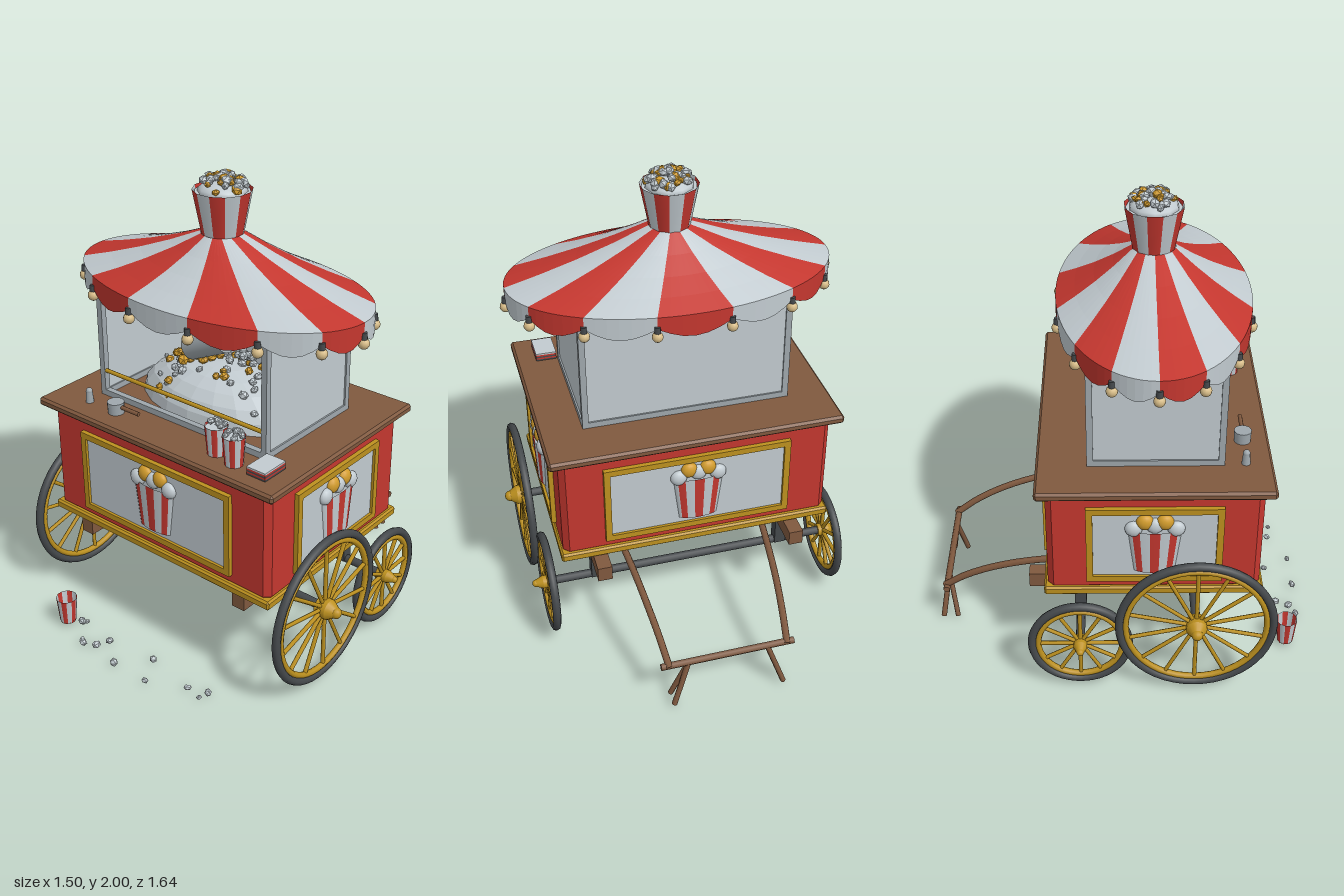
import * as THREE from 'three';
import { mergeGeometries } from 'three/addons/utils/BufferGeometryUtils.js';
import { ConvexGeometry } from 'three/addons/geometries/ConvexGeometry.js';

const mat = (name, color, side = THREE.FrontSide) => {
  const m = new THREE.MeshStandardMaterial({ color, side });
  m.name = name;
  return m;
};
const red = mat('red', 0xc4372f, THREE.DoubleSide);
const white = mat('white', 0xc2cbd0, THREE.DoubleSide);
const gold = mat('gold', 0xbd911f);
const wood = mat('wood', 0x80593f);
const dark = mat('iron', 0x45494c);
const metal = mat('metal', 0x9fa8ad);
const butter = mat('butter', 0xd29c2c);
const cream = mat('cream', 0xd8bd88);

const CZ = 0.125; // depth centre of the cart
const V = (x, y, z) => new THREE.Vector3(x, y, z);

let seed = 7;
const rnd = () => (seed = (seed * 16807) % 2147483647) / 2147483647;

function add(parent, name, geo, material, x = 0, y = 0, z = 0) {
  const m = new THREE.Mesh(geo, material);
  m.name = name;
  m.position.set(x, y, z);
  parent.add(m);
  return m;
}
function group(parent, name, x = 0, y = 0, z = 0) {
  const g = new THREE.Group();
  g.name = name;
  g.position.set(x, y, z);
  parent.add(g);
  return g;
}
const box = (w, h, d) => new THREE.BoxGeometry(w, h, d);

// Box with chamfered edges
function chamferBox(w, h, d, c) {
  const pts = [];
  for (const x of [-1, 1]) for (const y of [-1, 1]) for (const z of [-1, 1])
    for (let a = 0; a < 3; a++)
      pts.push(V(x * (w / 2 - (a === 0 ? 0 : c)), y * (h / 2 - (a === 1 ? 0 : c)), z * (d / 2 - (a === 2 ? 0 : c))));
  return new ConvexGeometry(pts);
}

// Straight bar between two points
function bar(a, b, r, sides = 8) {
  const dir = b.clone().sub(a);
  const geo = new THREE.CylinderGeometry(r, r, dir.length(), sides);
  geo.applyQuaternion(new THREE.Quaternion().setFromUnitVectors(V(0, 1, 0), dir.normalize()));
  const mid = a.clone().add(b).multiplyScalar(0.5);
  return geo.translate(mid.x, mid.y, mid.z);
}

// Striped tapering cup standing on its origin
function stripedCup(parent, name, rTop, rBot, h, n, front, back) {
  const g = group(parent, name);
  [front, back].forEach((m, odd) => {
    const parts = [];
    for (let i = odd; i < n; i += 2)
      parts.push(new THREE.CylinderGeometry(rTop, rBot, h, 1, 1, true, ((i - 0.5) * 2 * Math.PI) / n, (2 * Math.PI) / n));
    add(g, m.name + 'Stripes', mergeGeometries(parts), m, 0, h / 2);
  });
  return g;
}

// Faceted popcorn pieces at given points
function popcorn(parent, name, points, r, material) {
  const parts = points.map(p => {
    const geo = new THREE.IcosahedronGeometry(r * (0.75 + rnd() * 0.5), 0);
    geo.scale(1, 0.65 + rnd() * 0.4, 0.8);
    geo.rotateX(rnd() * 6).rotateY(rnd() * 6);
    return geo.translate(p.x, p.y, p.z);
  });
  add(parent, name, mergeGeometries(parts), material);
}
// Random points over a dome
function dome(n, c, rx, ry, rz, spread = 1) {
  return Array.from({ length: n }, () => {
    const a = rnd() * 2 * Math.PI, t = Math.sqrt(rnd()) * spread;
    return V(c.x + rx * t * Math.cos(a), c.y + ry * Math.sqrt(1 - t * t), c.z + rz * t * Math.sin(a));
  });
}

// Framed sign with a popcorn cup in relief, facing +z
function signPanel(parent, name, w, pos, turn) {
  const g = group(parent, name, ...pos), h = 0.37, t = 0.027;
  g.rotation.y = turn;
  add(g, 'panel', box(w - t, h - t, 0.012), white);
  for (const s of [-1, 1]) {
    add(g, 'frameRail', box(w, t, 0.036), gold, 0, s * (h - t) / 2);
    add(g, 'framePost', box(t, h, 0.036), gold, s * (w - t) / 2);
  }
  const cup = stripedCup(g, 'reliefCup', 0.11, 0.085, 0.21, 16, red, white);
  cup.position.y = -0.133;
  cup.scale.z = 0.3;
  [[-0.085, 0.085, white], [0.085, 0.085, white], [0, 0.1, white], [-0.04, 0.118, butter], [0.04, 0.118, butter]]
    .forEach(([x, y, m]) => add(g, 'reliefKernel', new THREE.SphereGeometry(0.036, 14, 10).scale(1, 1, 0.7), m, x, y, 0.008));
}

function wheel(parent, name, s, x, y, z, r, spokes) {
  const g = group(parent, name, s * x, y, z);
  const ring = (R, t) => new THREE.TorusGeometry(R, t, 8, 48).rotateY(Math.PI / 2);
  add(g, 'tyre', ring(r - 0.018, 0.018), dark);
  add(g, 'rim', ring(r - 0.044, 0.013), gold);
  const parts = [];
  for (let i = 0; i < spokes; i++) {
    const a = (i / spokes) * 2 * Math.PI;
    parts.push(bar(V(0, 0, 0), V(0, Math.cos(a) * (r - 0.04), Math.sin(a) * (r - 0.04)), 0.009, 6));
  }
  add(g, 'spokes', mergeGeometries(parts), gold);
  const hr = r * 0.13;
  add(g, 'hub', new THREE.CylinderGeometry(hr, hr, 0.05, 16).rotateZ(Math.PI / 2), gold);
  add(g, 'hubCap', new THREE.CylinderGeometry(hr * 0.55, hr, 0.03, 16).rotateZ(-s * Math.PI / 2), gold, s * 0.04);
  add(g, 'hubKnob', new THREE.SphereGeometry(hr * 0.55, 12, 8), gold, s * 0.056);
}

// Striped oval canopy with scalloped valance and bulbs
function canopy(parent) {
  const g = group(parent, 'canopy', 0, 0, CZ + 0.003), N = 14, SUB = 6;
  const rows = [[0, 1.755], [0.25, 1.695], [0.5, 1.643], [0.75, 1.598], [1, 1.558], [1, 0]];
  const point = (k, u, [f, y]) => {
    const a = ((k - 0.5 + u) * 2 * Math.PI) / N;
    const yy = y || 1.505 - 0.045 * Math.sin(Math.PI * u);
    return V(Math.sin(a) * (0.085 + 0.598 * f), yy, Math.cos(a) * (0.085 + 0.31 * f));
  };
  const sets = [[], []];
  for (let k = 0; k < N; k++) for (let i = 0; i < SUB; i++) for (let j = 0; j < rows.length - 1; j++) {
    const u = i / SUB, v = (i + 1) / SUB;
    const a = point(k, u, rows[j]), b = point(k, v, rows[j]);
    const c = point(k, u, rows[j + 1]), d = point(k, v, rows[j + 1]);
    sets[k % 2].push(a, c, b, b, c, d);
  }
  sets.forEach((pts, i) => {
    const geo = new THREE.BufferGeometry().setFromPoints(pts);
    geo.computeVertexNormals();
    add(g, i ? 'redStripes' : 'whiteStripes', geo, i ? red : white);
  });
  for (let k = 0; k < N; k++) {
    const p = point(k, 0, [1, 1.5]);
    add(g, 'bulbSocket', new THREE.CylinderGeometry(0.012, 0.014, 0.03, 8), dark, p.x, 1.503, p.z);
    add(g, 'bulb', new THREE.SphereGeometry(0.023, 12, 8), cream, p.x, 1.473, p.z);
  }
}

export function createModel() {
  const root = new THREE.Group();
  root.name = 'popcornCart';

  // Body
  const body = group(root, 'body', 0, 0, CZ);
  add(body, 'cabinet', chamferBox(1.165, 0.49, 0.87, 0.025), red, 0, 0.725);
  add(body, 'baseTrim', chamferBox(1.19, 0.04, 0.9, 0.008), gold, 0, 0.48);
  add(body, 'countertop', chamferBox(1.254, 0.038, 0.95, 0.01), wood, 0, 0.988);
  for (const s of [-1, 1]) {
    signPanel(body, s > 0 ? 'frontSign' : 'backSign', 0.805, [0, 0.725, s * 0.437], s > 0 ? 0 : Math.PI);
    signPanel(body, s > 0 ? 'leftSign' : 'rightSign', 0.55, [s * 0.585, 0.725, 0], s * Math.PI / 2);
  }

  // Display case, open at the front
  const caseG = group(root, 'displayCase', 0, 1.007, CZ + 0.005);
  const H = 0.54, P = 0.026;
  for (const s of [-1, 1]) {
    for (const z of [-1, 1]) add(caseG, 'cornerPost', box(P, H, P), metal, s * 0.432, H / 2, z * 0.262);
    add(caseG, 'sidePane', box(0.012, H, 0.52), white, s * 0.432, H / 2);
    add(caseG, 'sideRail', box(P, P, 0.52), metal, s * 0.432, P / 2);
    add(caseG, 'crossRail', box(0.86, P, P), metal, 0, P / 2, s * 0.262);
  }
  add(caseG, 'backPane', box(0.86, H, 0.012), white, 0, H / 2, -0.262);
  add(caseG, 'ceiling', box(0.86, 0.012, 0.52), white, 0, H - 0.01);
  add(caseG, 'guardBar', bar(V(-0.425, 0.113, 0.265), V(0.425, 0.113, 0.265), 0.009), gold);

  // Popcorn heap and tipping kettle
  const heap = new THREE.SphereGeometry(1, 20, 6, 0, 2 * Math.PI, 0, Math.PI / 2).scale(0.4, 0.185, 0.235).toNonIndexed();
  heap.computeVertexNormals();
  add(caseG, 'popcornHeap', heap, white);
  popcorn(caseG, 'whitePopcorn', dome(45, V(0, 0.004, 0), 0.39, 0.19, 0.225), 0.02, white);
  popcorn(caseG, 'butterPopcorn', dome(34, V(0, 0.006, 0), 0.38, 0.19, 0.22), 0.02, butter);
  popcorn(caseG, 'pouredPopcorn', dome(10, V(-0.15, 0.16, 0.06), 0.07, 0.04, 0.05), 0.024, butter);
  popcorn(caseG, 'looseCrest', dome(10, V(0.11, 0.18, 0.02), 0.06, 0.1, 0.05), 0.02, white);
  add(caseG, 'kettleMount', box(0.165, 0.1, 0.14), dark, 0, 0.475, 0.06);
  add(caseG, 'kettleHanger', bar(V(0, 0.25, 0.03), V(0, 0.45, 0.03), 0.005), metal);
  add(caseG, 'kettle', bar(V(-0.13, 0.235, 0.05), V(0.055, 0.32, 0.05), 0.058, 20), metal);
  add(caseG, 'kettleHandle', bar(V(0.05, 0.295, 0.05), V(0.118, 0.338, 0.05), 0.007), dark);

  canopy(root);

  // Giant cup on the roof
  const crown = stripedCup(root, 'roofCup', 0.12, 0.085, 0.18, 12, white, red);
  crown.position.set(0, 1.75, CZ);
  add(crown, 'cupFilling', new THREE.CylinderGeometry(0.112, 0.112, 0.01, 12), white, 0, 0.165);
  add(crown, 'cupHeap', new THREE.SphereGeometry(0.1, 10, 5, 0, 2 * Math.PI, 0, Math.PI / 2).scale(1, 0.45, 1), white, 0, 0.17);
  popcorn(crown, 'whitePopcorn', dome(30, V(0, 0.18, 0), 0.092, 0.052, 0.092), 0.02, white);
  popcorn(crown, 'butterPopcorn', dome(18, V(0, 0.18, 0), 0.09, 0.052, 0.09), 0.02, butter);

  // Undercarriage, wheels and pull handle
  add(root, 'frontAxle', bar(V(-0.67, 0.357, 0.3), V(0.67, 0.357, 0.3), 0.019, 12), dark);
  add(root, 'rearAxle', bar(V(-0.64, 0.237, -0.18), V(0.64, 0.237, -0.18), 0.019, 12), dark);
  for (const s of [-1, 1]) {
    const side = s > 0 ? 'left' : 'right';
    wheel(root, side + 'FrontWheel', s, 0.671, 0.357, 0.3, 0.336, 14);
    wheel(root, side + 'RearWheel', s, 0.643, 0.237, -0.18, 0.22, 12);
    add(root, 'chassisBeam', box(0.062, 0.068, 0.95), wood, s * 0.427, 0.42, 0.08);
    add(root, 'rearAxleStrut', box(0.048, 0.16, 0.05), dark, s * 0.427, 0.312, -0.18);
    const path = new THREE.CatmullRomCurve3([V(s * 0.33, 0.44, -0.1), V(s * 0.303, 0.4, -0.37),
      V(s * 0.285, 0.35, -0.55), V(s * 0.268, 0.285, -0.69), V(s * 0.255, 0.215, -0.79)]);
    add(root, 'handlePole', new THREE.TubeGeometry(path, 14, 0.015, 6), wood);
    for (const z of [-0.748, -0.812])
      add(root, 'handleLeg', bar(V(s * 0.17, 0.215, -0.78), V(s * 0.24, 0.015, z), 0.012, 6), wood);
  }
  add(root, 'handleCrossbar', bar(V(-0.288, 0.215, -0.78), V(0.288, 0.215, -0.78), 0.015, 6), wood);

  // Things on the counter
  const counter = group(root, 'counterItems', 0, 1.007, 0);
  [[0.26, 0.48], [0.365, 0.5]].forEach(([x, z]) => {
    const c = stripedCup(counter, 'servingCup', 0.047, 0.037, 0.125, 12, white, red);
    c.position.set(x, 0, z);
    add(c, 'filling', new THREE.CylinderGeometry(0.044, 0.044, 0.008, 12), white, 0, 0.112);
    popcorn(c, 'popcorn', dome(14, V(0, 0.115, 0), 0.034, 0.03, 0.034), 0.014, white);
  });
  for (let i = 0; i < 5; i++)
    add(counter, 'napkin', box(0.09, 0.007, 0.125), i % 2 ? red : i < 4 ? dark : white, 0.495, 0.004 + i * 0.007, 0.468);
  add(counter, 'shaker', new THREE.CylinderGeometry(0.014, 0.018, 0.05, 12), metal, -0.43, 0.025, 0.49);
  add(counter, 'shakerLid', new THREE.SphereGeometry(0.015, 12, 6), metal, -0.43, 0.05, 0.49);
  add(counter, 'scoop', new THREE.CylinderGeometry(0.036, 0.034, 0.05, 16), metal, -0.275, 0.027, 0.49);
  add(counter, 'scoopHandle', bar(V(-0.24, 0.035, 0.49), V(-0.145, 0.035, 0.49), 0.009), wood);

  // Dropped cup and stray popcorn on the ground
  const dropped = stripedCup(root, 'groundCup', 0.046, 0.035, 0.122, 12, white, red);
  dropped.position.set(-0.41, 0.018, 0.722);
  add(dropped, 'cupBase', new THREE.CylinderGeometry(0.035, 0.034, 0.008, 12), wood, 0, 0.004);
  const strays = [[-0.355, 0.69], [-0.335, 0.68], [-0.26, 0.78], [-0.245, 0.79], [-0.165, 0.71], [-0.19, 0.765], [-0.05, 0.8],
    [0.065, 0.68], [0.13, 0.8], [0.295, 0.72], [0.37, 0.735], [0.38, 0.69]];
  popcorn(root, 'strayPopcorn', strays.map(([x, z]) => V(x, 0.017, z)), 0.017, white);
  return root;
}
